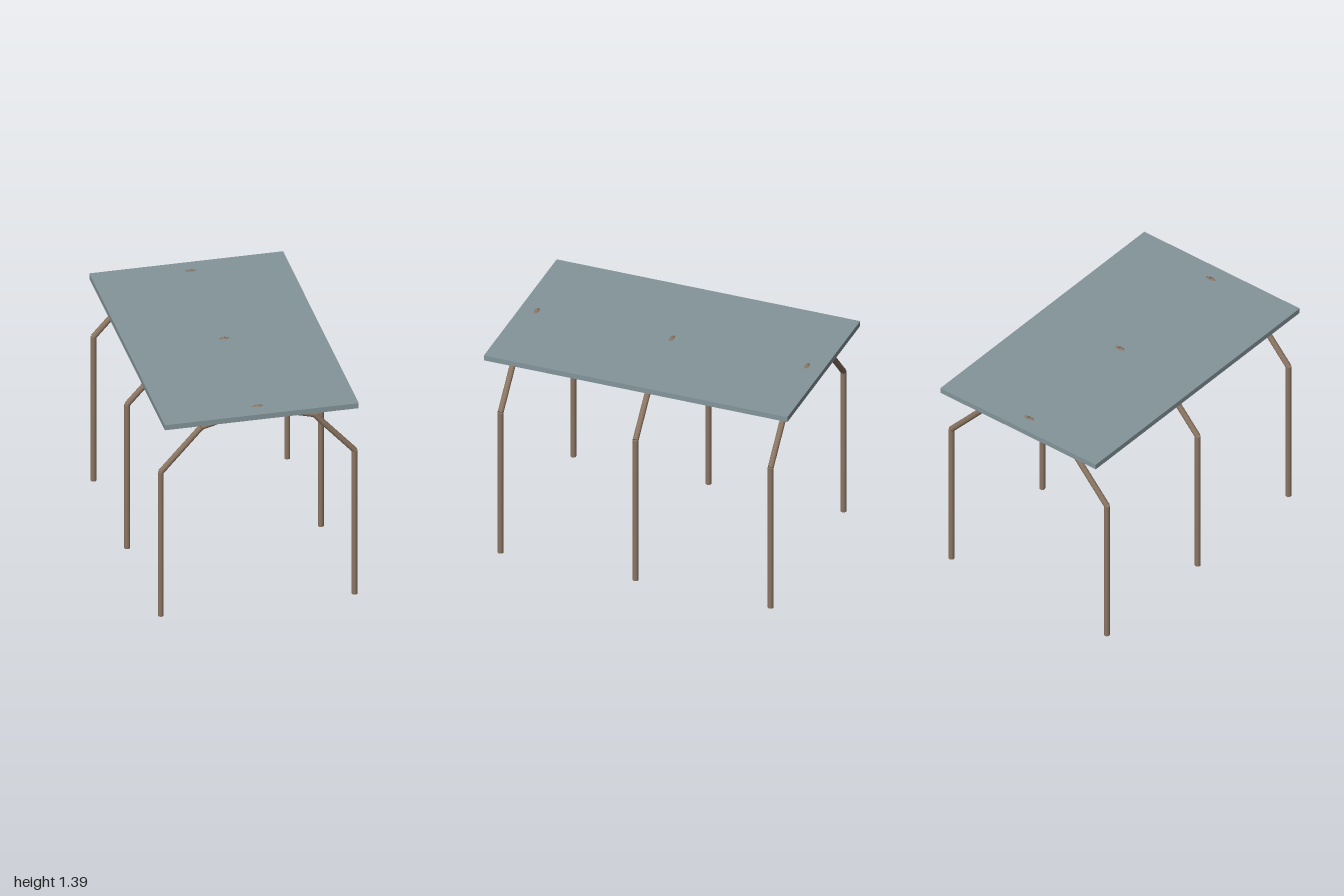
import * as THREE from 'three';

const wood = new THREE.MeshStandardMaterial({ color: 0x8b7562 });
const panel = new THREE.MeshStandardMaterial({ color: 0x84959a });
const RADIUS = 0.0185;

// Round bar between two points in the XY plane
function bar(name, [x0, y0], [x1, y1]) {
  const dx = x1 - x0, dy = y1 - y0;
  const geometry = new THREE.CylinderGeometry(RADIUS, RADIUS, Math.hypot(dx, dy), 16);
  const mesh = new THREE.Mesh(geometry, wood);
  mesh.name = name;
  mesh.position.set((x0 + x1) / 2, (y0 + y1) / 2, 0);
  mesh.rotation.z = Math.atan2(-dx, dy);
  return mesh;
}

// One arched frame: two posts, two lower rafters, two upper rafters
function archFrame(name, z) {
  const frame = new THREE.Group();
  frame.name = name;
  for (const [side, s] of [['left', 1], ['right', -1]]) {
    const foot = [s * 0.611, 0], shoulder = [s * 0.611, 1.002];
    const knee = [s * 0.356, 1.284], apex = [0, 1.377];
    frame.add(
      bar(side + 'Post', foot, shoulder),
      bar(side + 'LowerRafter', shoulder, knee),
      bar(side + 'UpperRafter', knee, apex),
    );
  }
  frame.position.z = z;
  return frame;
}

export function createModel() {
  const model = new THREE.Group();
  model.name = 'shelter';

  // Flat roof slab
  const roof = new THREE.Mesh(new THREE.BoxGeometry(1.222, 0.035, 2), panel);
  roof.name = 'roofPanel';
  roof.position.y = 1.369;
  model.add(roof);

  // Three frames along the length
  for (const [name, z] of [['backFrame', -0.89], ['middleFrame', 0], ['frontFrame', 0.89]]) {
    model.add(archFrame(name, z));
  }
  return model;
}
